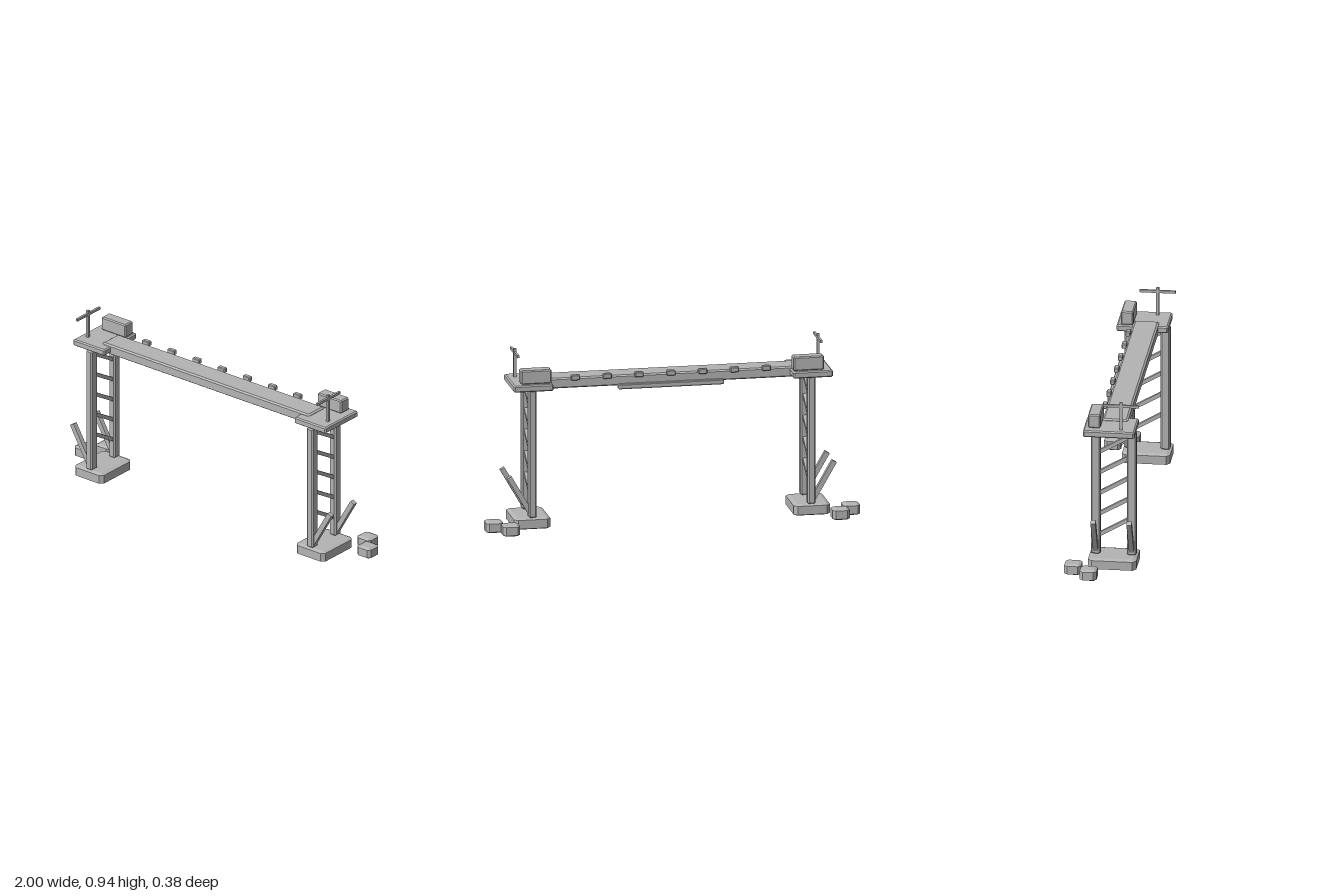
import * as THREE from 'three';
import { ConvexGeometry } from 'three/addons/geometries/ConvexGeometry.js';

const grey = new THREE.MeshStandardMaterial({ color: 0xb4b4b4 });
grey.name = 'concreteGrey';

// Box with flat chamfers: size [x,y,z], bevel [x,y,z]
function chamferBox(size, bevel) {
  const pts = [];
  for (const sx of [-1, 1]) for (const sy of [-1, 1]) for (const sz of [-1, 1]) {
    for (let full = 0; full < 3; full++) {
      const c = size.map((d, i) => d / 2 - (i === full ? 0 : bevel[i]));
      pts.push(new THREE.Vector3(sx * c[0], sy * c[1], sz * c[2]));
    }
  }
  return new ConvexGeometry(pts);
}

// Named block spanning min..max on each axis
function block(parent, name, [x0, x1], [y0, y1], [z0, z1], bevel) {
  const size = [Math.abs(x1 - x0), y1 - y0, z1 - z0];
  const geo = bevel ? chamferBox(size, bevel) : new THREE.BoxGeometry(...size);
  const mesh = new THREE.Mesh(geo, grey);
  mesh.name = name;
  mesh.position.set((x0 + x1) / 2, (y0 + y1) / 2, (z0 + z1) / 2);
  parent.add(mesh);
  return mesh;
}

// One support tower; s = +1 for the left side, -1 for the right
function tower(s) {
  const g = new THREE.Group();
  g.name = s > 0 ? 'leftTower' : 'rightTower';
  const X = (a, b) => [s * a, s * b];

  block(g, 'footing', X(0.65, 0.845), [0.003, 0.065], [-0.075, 0.18], [0.02, 0.0075, 0.02]);

  // Posts, each with an outward leaning brace
  for (const z of [-0.0425, 0.1475]) {
    block(g, 'post', X(0.724, 0.766), [0.065, 0.756], [z - 0.025, z + 0.025], [0.0075, 0.006, 0.0075]);
    const brace = block(g, 'brace', X(0.7955, 0.8225), [0.063, 0.303], [z - 0.013, z + 0.013]);
    brace.position.y = 0.183;
    brace.rotation.z = -s * Math.PI / 6;
  }

  // Sloping rungs between the posts
  for (let i = 0; i < 5; i++) {
    const y = 0.215 + i * 0.1165;
    const rung = block(g, 'rung', X(0.735, 0.755), [y - 0.01, y + 0.01], [-0.0475, 0.1525]);
    rung.rotation.x = -Math.PI / 6;
  }

  // Deck with its crate and T-shaped mast
  block(g, 'deck', X(0.64, 0.853), [0.756, 0.792], [-0.1, 0.172], [0.0075, 0.006, 0.0075]);
  block(g, 'crate', X(0.647, 0.81), [0.792, 0.867], [-0.077, -0.012], [0.007, 0.006, 0.006]);
  block(g, 'mast', X(0.803, 0.817), [0.79, 0.945], [0.09, 0.105]);
  block(g, 'crossbar', X(0.804, 0.816), [0.917, 0.931], [0.002, 0.192]);

  // Loose blocks on the ground
  const b = [0.016, 0.0075, 0.016];
  block(g, 'outerRubble', X(0.908, 1), [0, 0.06], [-0.1, -0.011], b);
  block(g, 'innerRubble', X(0.835, 0.927), [0, 0.06], [-0.19, -0.101], b);
  return g;
}

export function createModel() {
  const model = new THREE.Group();
  model.name = 'gantryBridge';
  model.add(tower(1), tower(-1));

  // Main span
  block(model, 'beam', [-0.698, 0.698], [0.745, 0.801], [-0.014, 0.12], [0.01, 0.007, 0.01]);

  // Row of studs and a long strip along the rear edge
  for (let i = -3; i <= 3; i++) {
    const x = i * 0.17;
    block(model, 'stud', [x - 0.024, x + 0.024], [0.79, 0.818], [-0.034, -0.008], [0.005, 0.004, 0.004]);
  }
  block(model, 'rearStrip', [-0.283, 0.283], [0.73, 0.757], [-0.038, -0.013], [0.006, 0.004, 0.004]);
  return model;
}
